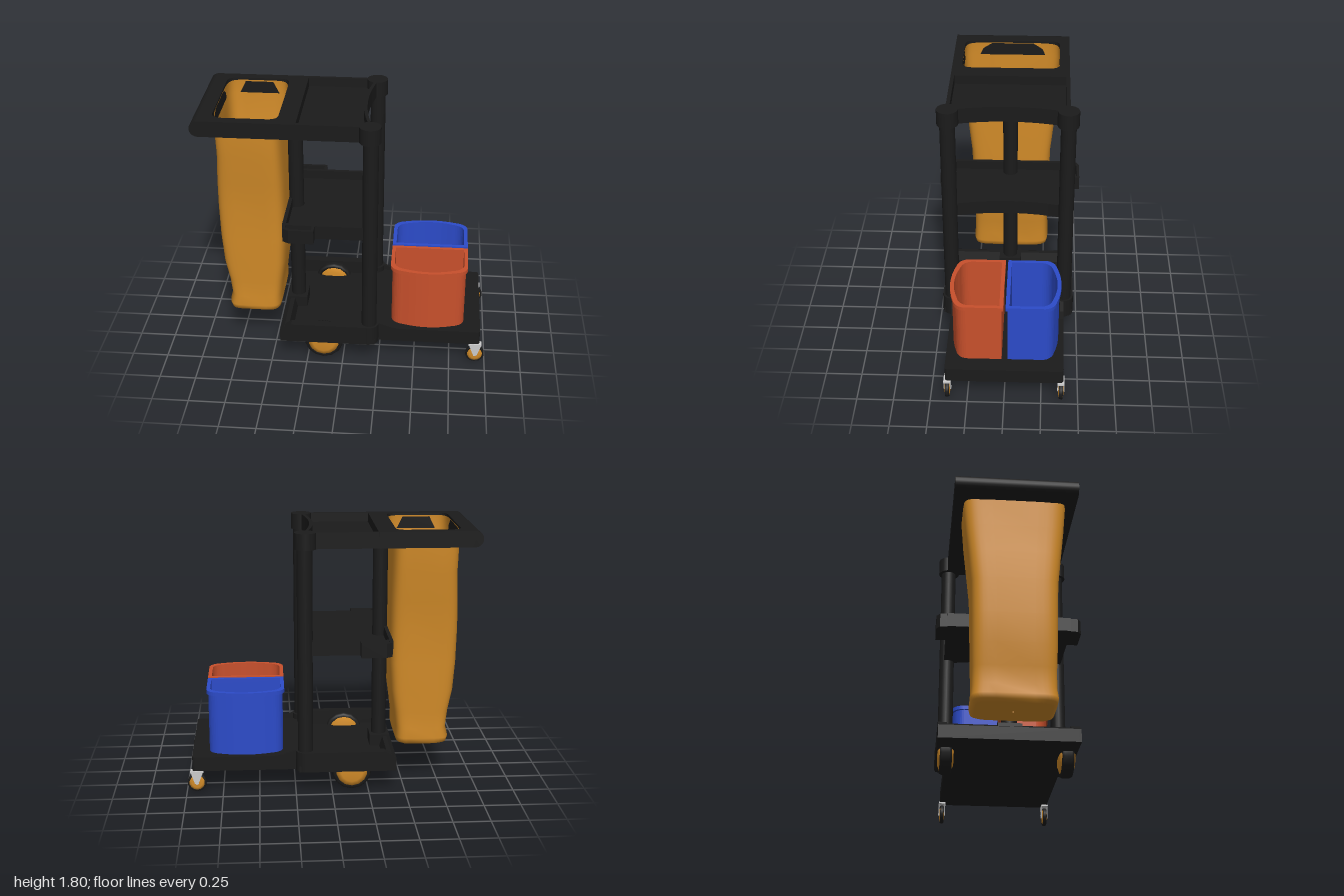
import * as THREE from 'three';

const paint = (color) => new THREE.MeshStandardMaterial({ color, side: THREE.DoubleSide });
const BLACK = paint(0x1b1b1b), ORANGE = paint(0xd08a28), RED = paint(0xc8502c),
  BLUE = paint(0x2c4bc9), GREY = paint(0xcccccc);

function add(parent, name, geo, mat, x = 0, y = 0, z = 0) {
  const m = new THREE.Mesh(geo, mat);
  m.name = name;
  m.position.set(x, y, z);
  parent.add(m);
  return m;
}

// Horizontal plate between heights y0 and y1 from a plan outline (x, -z)
function plate(outline, y0, y1, hole) {
  const s = new THREE.Shape(outline);
  if (hole) s.holes.push(new THREE.Path(hole));
  const g = new THREE.ExtrudeGeometry(s, { depth: y1 - y0, bevelEnabled: false });
  return g.rotateX(-Math.PI / 2).translate(0, y0, 0);
}

// Upright board from a side outline (x, y), centred on z
function board(points, z, thick) {
  const s = new THREE.Shape(points.map(([x, y]) => new THREE.Vector2(x, y)));
  const g = new THREE.ExtrudeGeometry(s, { depth: thick, bevelEnabled: false });
  return g.translate(0, 0, z - thick / 2);
}

// Rectangle whose +x edge curves inward by dip
function scooped(x0, x1, hz, dip = 0.06) {
  const s = new THREE.Shape();
  s.moveTo(x0, -hz);
  s.lineTo(x1, -hz);
  s.quadraticCurveTo(x1 - 2 * dip, 0, x1, hz);
  s.lineTo(x0, hz);
  return s.getPoints(12);
}

function roundedRect(x0, x1, hz, r) {
  const s = new THREE.Shape();
  s.moveTo(x0 + r, -hz);
  s.lineTo(x1 - r, -hz);
  s.quadraticCurveTo(x1, -hz, x1, -hz + r);
  s.lineTo(x1, hz - r);
  s.quadraticCurveTo(x1, hz, x1 - r, hz);
  s.lineTo(x0 + r, hz);
  s.quadraticCurveTo(x0, hz, x0, hz - r);
  s.lineTo(x0, -hz + r);
  s.quadraticCurveTo(x0, -hz, x0 + r, -hz);
  return s.getPoints(6);
}

// Bucket plan: straight inner side, bulging outer side with soft corners
function bucketPlan(inset, sign) {
  const hx = 0.267 - inset, z0 = 0.008 + inset, z1 = 0.342 - inset;
  const s = new THREE.Shape();
  s.moveTo(-hx, z0);
  s.lineTo(hx, z0);
  s.lineTo(hx, z1 - 0.07);
  s.quadraticCurveTo(hx - 0.01, z1 - 0.01, hx - 0.08, z1 + 0.005);
  s.quadraticCurveTo(0, z1 + 0.062, -hx + 0.08, z1 + 0.005);
  s.quadraticCurveTo(-hx + 0.01, z1 - 0.01, -hx, z1 - 0.07);
  return s.getPoints(8).map((p) => new THREE.Vector2(p.x + 0.588, -p.y * sign));
}

function bucket(parent, name, sign, mat) {
  const g = new THREE.Group();
  g.name = name;
  add(g, 'bucketWall', plate(bucketPlan(0.012, sign), 0.25, 0.68, bucketPlan(0.026, sign)), mat);
  add(g, 'bucketFloor', plate(bucketPlan(0.02, sign), 0.25, 0.27), mat);
  add(g, 'bucketRim', plate(bucketPlan(0, sign), 0.67, 0.697, bucketPlan(0.026, sign)), mat);
  parent.add(g);
}

// Bag skin lofted through soft rectangles: [y, x min, x max, half depth]
function bagGeometry() {
  const rings = [
    [1.785, -0.866, -0.43, 0.342], [1.69, -0.87, -0.425, 0.345], [1.5, -0.865, -0.42, 0.33],
    [1.3, -0.875, -0.415, 0.308], [1.1, -0.88, -0.415, 0.287], [0.85, -0.875, -0.415, 0.28],
    [0.65, -0.86, -0.425, 0.277], [0.5, -0.83, -0.445, 0.272], [0.38, -0.815, -0.46, 0.272],
    [0.31, -0.832, -0.458, 0.28], [0.275, -0.822, -0.465, 0.272], [0.26, -0.79, -0.49, 0.245],
    [0.258, -0.65, -0.64, 0.005],
  ];
  const n = 40, pos = [], idx = [];
  const soft = (v) => Math.sign(v) * Math.abs(v) ** 0.32;
  rings.forEach(([y, x0, x1, hz], k) => {
    for (let i = 0; i < n; i++) {
      const a = ((i + 0.5) / n) * Math.PI * 2;
      pos.push((x0 + x1) / 2 + (x1 - x0) / 2 * soft(Math.cos(a)), y, hz * soft(Math.sin(a)));
      if (k === 0) continue;
      const j = (i + 1) % n, u = (k - 1) * n, d = k * n;
      idx.push(u + i, u + j, d + i, u + j, d + j, d + i);
    }
  });
  const g = new THREE.BufferGeometry();
  g.setAttribute('position', new THREE.Float32BufferAttribute(pos, 3));
  g.setIndex(idx);
  g.computeVertexNormals();
  return g;
}

// Dark tyre with a bulging coloured disc on both faces
function wheel(parent, name, r, w, x, y, z) {
  const g = new THREE.Group();
  g.name = name;
  const tyre = [[0.8, -0.5], [0.94, -0.5], [1, -0.3], [1, 0.3], [0.94, 0.5], [0.8, 0.5], [0.8, -0.5]];
  const disc = [[0, -0.68], [0.55, -0.66], [0.84, -0.46], [0.84, 0.46], [0.55, 0.66], [0, 0.68]];
  for (const [part, prof, mat] of [['tyre', tyre, BLACK], ['wheelDisc', disc, ORANGE]]) {
    const pts = prof.map(([a, b]) => new THREE.Vector2(a * r, b * w));
    add(g, part, new THREE.LatheGeometry(pts, 14).rotateX(Math.PI / 2), mat);
  }
  g.position.set(x, y, z);
  parent.add(g);
}

export function createModel() {
  const cart = new THREE.Group();
  cart.name = 'cleaningCart';

  // Base: bucket deck, tray floor, tray walls
  add(cart, 'bucketDeck', plate(roundedRect(0.15, 0.96, 0.4, 0.025), 0.15, 0.25), BLACK);
  add(cart, 'trayFloor', new THREE.BoxGeometry(0.65, 0.04, 0.92), BLACK, -0.1, 0.17, 0);
  add(cart, 'trayEndWall', board([[-0.44, 0.15], [-0.44, 0.24], [-0.41, 0.26], [-0.38, 0.26], [-0.36, 0.19], [-0.36, 0.15]], 0, 0.9), BLACK);
  add(cart, 'trayStep', plate(scooped(0.1, 0.22, 0.42, -0.0), 0.15, 0.25), BLACK);
  add(cart, 'postSocket', new THREE.BoxGeometry(0.14, 0.12, 0.16), BLACK, -0.36, 0.21, 0);
  for (const s of [1, -1]) {
    add(cart, 'traySideWall', board([[-0.44, 0.15], [-0.44, 0.24], [-0.36, 0.29], [0.18, 0.29], [0.18, 0.15]], s * 0.437, 0.06), BLACK);
    add(cart, 'deckLip', board([[0.18, 0.2], [0.18, 0.29], [0.25, 0.29], [0.33, 0.262], [0.4, 0.25], [0.4, 0.2]], s * 0.388, 0.024), BLACK);
  }

  // Posts with collars at the base and the top
  add(cart, 'rearPost', new THREE.CylinderGeometry(0.052, 0.052, 1.52, 20), BLACK, -0.36, 0.95, 0);
  for (const s of [1, -1]) {
    add(cart, 'sidePost', new THREE.CylinderGeometry(0.052, 0.052, 1.52, 20), BLACK, 0.182, 0.95, s * 0.4);
    add(cart, 'baseCollar', new THREE.CylinderGeometry(0.072, 0.072, 0.14, 14), BLACK, 0.178, 0.22, s * 0.398);
    add(cart, 'topCollar', new THREE.CylinderGeometry(0.073, 0.073, 0.11, 14), BLACK, 0.177, 1.745, s * 0.398);
  }

  // Top frame: round handle end, bag opening, shallow tray
  const bagHole = roundedRect(-0.866, -0.43, 0.342, 0.07);
  add(cart, 'handleEnd', new THREE.CylinderGeometry(0.055, 0.055, 0.82, 20).rotateX(Math.PI / 2), BLACK, -0.945, 1.745, 0);
  add(cart, 'bagFrame', plate(roundedRect(-0.945, -0.31, 0.41, 0.001), 1.69, 1.8, bagHole), BLACK);
  add(cart, 'topTrayRim', plate(scooped(-0.31, 0.195, 0.41), 1.69, 1.8, scooped(-0.305, 0.17, 0.385)), BLACK);
  add(cart, 'topTrayFloor', plate(scooped(-0.31, 0.18, 0.4), 1.69, 1.735), BLACK);

  // Middle shelf with a small holder on each side
  add(cart, 'shelfRim', plate(scooped(-0.41, 0.195, 0.42), 0.967, 1.065, scooped(-0.385, 0.17, 0.395)), BLACK);
  add(cart, 'shelfFloor', plate(scooped(-0.4, 0.18, 0.41), 0.967, 1.0), BLACK);
  for (const s of [1, -1]) {
    const holder = new THREE.Group();
    holder.name = 'sideHolder';
    const plan = (i) => [[-0.4 + i, 0.4 + i], [-0.19 - i, 0.4 + i], [-0.19 - i, 0.495 - i], [-0.36 + i, 0.495 - i], [-0.4 + i, 0.47 - i]]
      .map(([x, z]) => new THREE.Vector2(x, -z * s));
    add(holder, 'holderWall', plate(plan(0), 0.967, 1.065, plan(0.018)), BLACK);
    add(holder, 'holderFloor', plate(plan(0.005), 0.967, 0.99), BLACK);
    cart.add(holder);
  }

  // Bag and buckets
  add(cart, 'wasteBag', bagGeometry(), ORANGE);
  bucket(cart, 'redBucket', 1, RED);
  bucket(cart, 'blueBucket', -1, BLUE);

  // Large fixed wheels, small casters with forks
  for (const s of [1, -1]) {
    wheel(cart, 'largeWheel', 0.135, 0.08, -0.135, 0.146, s * 0.405);
    wheel(cart, 'casterWheel', 0.066, 0.026, 0.93, 0.066, s * 0.385);
    for (const d of [1, -1]) {
      add(cart, 'casterFork', board([[0.885, 0.15], [0.975, 0.15], [0.945, 0.06], [0.92, 0.06]], s * 0.385 + d * 0.021, 0.006), GREY);
    }
    add(cart, 'forkTop', new THREE.BoxGeometry(0.09, 0.012, 0.046), GREY, 0.93, 0.145, s * 0.385);
    add(cart, 'casterAxle', new THREE.CylinderGeometry(0.012, 0.012, 0.052, 10).rotateX(Math.PI / 2), GREY, 0.93, 0.066, s * 0.385);
  }
  return cart;
}
